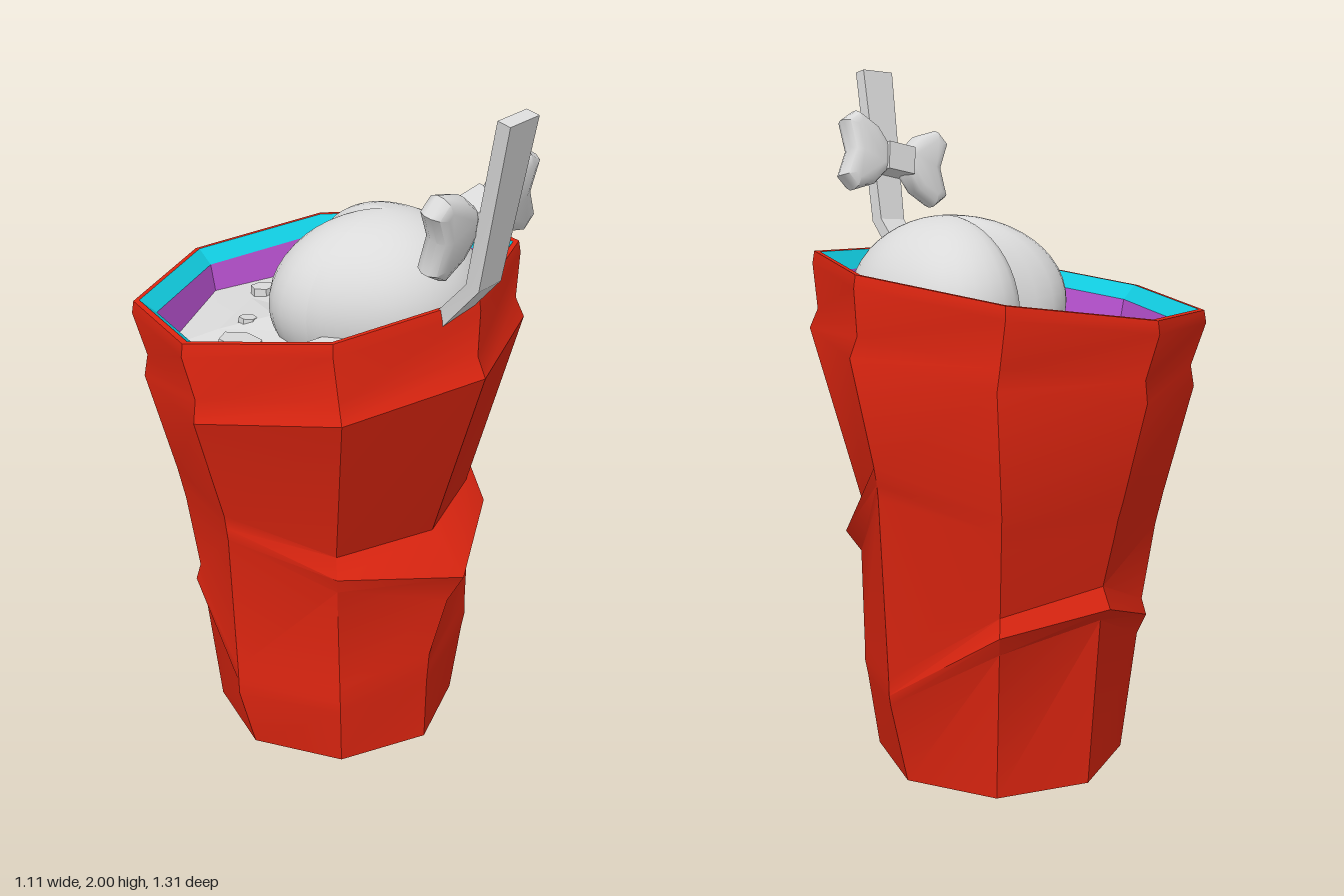
import * as THREE from 'three';
import { toCreasedNormals } from 'three/addons/utils/BufferGeometryUtils.js';

const mat = (name, color, side = THREE.FrontSide) => {
  const m = new THREE.MeshStandardMaterial({ color, side });
  m.name = name;
  return m;
};

// Skin between closed rings of points, each ring running counter-clockwise seen from above
function loft(rings, crease = 0.6) {
  const pos = [];
  for (let i = 0; i < rings.length - 1; i++) {
    const n = rings[i].length;
    for (let k = 0; k < n; k++) {
      const a = rings[i][k], b = rings[i][(k + 1) % n];
      const c = rings[i + 1][(k + 1) % n], d = rings[i + 1][k];
      for (const [p, q, r] of [[a, b, c], [a, c, d]]) {
        if (p.distanceTo(q) < 1e-5 || q.distanceTo(r) < 1e-5 || r.distanceTo(p) < 1e-5) continue;
        for (const v of [p, q, r]) pos.push(v.x, v.y, v.z);
      }
    }
  }
  const g = new THREE.BufferGeometry();
  g.setAttribute('position', new THREE.Float32BufferAttribute(pos, 3));
  return toCreasedNormals(g, crease);
}

// Height of the tilted rim plane, shifted by off
const rimY = (x, z, off) => 1.412 + off + 0.11 * x + 0.1 * (z + 0.1);

// Octagon ring: radius and height per column, starting at the front and turning toward +x
function foldRing(ys, rs, frontShift = 0) {
  return ys.map((y, k) => {
    const a = k * Math.PI / 4;
    return new THREE.Vector3(Math.sin(a) * rs[k] + (k === 0 ? frontShift : 0), y, Math.cos(a) * rs[k] - 0.065 - 0.025 * y);
  });
}

// Octagon ring parallel to the rim
function rimRing(r, off, cz = -0.1, bump = () => 0) {
  return Array.from({ length: 8 }, (_, k) => {
    const a = k * Math.PI / 4, x = Math.sin(a) * r, z = Math.cos(a) * r + cz;
    return new THREE.Vector3(x, rimY(x, z, off) + bump(k), z);
  });
}

export function createModel() {
  const group = new THREE.Group();
  const red = mat('red', 0xdd2510);
  const cyan = mat('cyan', 0x10c8dc);
  const purple = mat('purple', 0xb450cc);
  const white = mat('pale grey', 0xdadada);
  const add = (name, geo, material, parent = group) => {
    const m = new THREE.Mesh(geo, material);
    m.name = name;
    parent.add(m);
    return m;
  };

  // Crumpled cup: base, low fold at the back, higher fold at the front, then the lip
  const base = foldRing(Array(8).fill(0), Array(8).fill(0.365));
  add('cupShell', loft([
    base,
    foldRing([0.2, 0.22, 0.25, 0.44, 0.5, 0.36, 0.2, 0.18], [0.375, 0.40, 0.43, 0.40, 0.39, 0.40, 0.42, 0.39]),
    foldRing([0.25, 0.27, 0.28, 0.5, 0.54, 0.42, 0.24, 0.22], [0.38, 0.41, 0.435, 0.435, 0.425, 0.425, 0.42, 0.39]),
    foldRing([0.3, 0.32, 0.33, 0.55, 0.6, 0.47, 0.29, 0.27], [0.385, 0.41, 0.437, 0.41, 0.395, 0.41, 0.42, 0.39]),
    foldRing([0.47, 0.61, 0.86, 0.75, 0.75, 0.7, 0.72, 0.58], [0.405, 0.42, 0.475, 0.455, 0.43, 0.44, 0.43, 0.37], 0.06),
    foldRing([0.57, 0.67, 0.9, 0.8, 0.8, 0.75, 0.76, 0.63], [0.465, 0.465, 0.48, 0.465, 0.44, 0.45, 0.435, 0.39], 0.06),
    foldRing([0.69, 0.74, 0.95, 0.85, 0.85, 0.8, 0.8, 0.69], [0.355, 0.41, 0.49, 0.475, 0.455, 0.46, 0.44, 0.365], 0.05),
    rimRing(0.55, -0.225, -0.07),
    rimRing(0.532, -0.165, -0.08),
    rimRing(0.556, -0.035),
    rimRing(0.55, 0),
    rimRing(0.533, 0),
  ]), red);
  add('cupBase', loft([base.map(() => new THREE.Vector3(0, 0, -0.065)), base]), cyan);
  add('innerRim', loft([rimRing(0.533, 0), rimRing(0.485, -0.045)], 0.3), cyan);
  add('innerWall', loft([rimRing(0.485, -0.045), rimRing(0.44, -0.25)], 0.3), purple);

  // Uneven frozen surface inside the cup
  const bump = s => k => 0.018 * Math.sin(k * 2.7 + s * 4.1);
  add('icySurface', loft([
    rimRing(0.468, -0.14, -0.1, bump(1)),
    rimRing(0.31, -0.13, -0.1, bump(2)),
    rimRing(0.15, -0.12, -0.1, bump(3)),
    rimRing(0, -0.12),
  ], 0.05), white);

  // Ice chips poking out of the surface: x, z, radius
  [[-0.28, -0.17, 0.07], [-0.15, -0.27, 0.03], [0.05, -0.41, 0.04], [-0.22, 0.14, 0.11]].forEach(([x, z, r], i) => {
    const chip = add('iceChip', toCreasedNormals(new THREE.CylinderGeometry(r * 0.9, r, 0.05, 6), 0.3), white);
    chip.position.set(x, rimY(x, z, -0.133), z);
    chip.rotation.set(0.1, i * 0.8, -0.11);
  });

  // Rounded two-lobed scoop with a cleft on one side
  const scoop = new THREE.SphereGeometry(1, 48, 24);
  const p = scoop.attributes.position;
  const notch = Math.atan2(-0.3, -0.95);
  for (let i = 0; i < p.count; i++) {
    const x = p.getX(i), y = p.getY(i), z = p.getZ(i), s = Math.hypot(x, z);
    let f = Math.atan2(x, z) - notch;
    f = Math.abs(Math.atan2(Math.sin(f), Math.cos(f)));
    const cleft = Math.exp(-((f / 0.24) ** 2));
    const r = 0.285 + 0.065 * Math.exp(-(((f - 0.9) / 0.55) ** 2)) - 0.095 * cleft;
    p.setXYZ(i, x * r, y * 0.25 - 0.03 * cleft * s * (1 - s * 0.5), z * r);
  }
  scoop.computeVertexNormals();
  add('scoop', scoop, white).position.set(0.12, 1.345, 0.02);

  // Bent flat straw: centre, half width and half thickness at each section
  const section = (x, y, z, w, t) =>
    [[-w, t], [w, t], [w, -t], [-w, -t]].map(([dx, dz]) => new THREE.Vector3(x + dx, y + dx * 0.08 - dz * 0.25, z + dz));
  const point = (x, y, z) => section(x, y, z, 0, 0);
  add('straw', loft([
    point(-0.05, 1.27, 0.25),
    section(-0.05, 1.27, 0.25, 0.045, 0.025),
    section(-0.065, 1.54, 0.51, 0.046, 0.021),
    section(-0.115, 1.99, 0.632, 0.057, 0.019),
    point(-0.115, 1.99, 0.632),
  ], 0.3), white);

  // Bow tied behind the straw
  const bow = new THREE.Group();
  bow.name = 'bow';
  bow.position.set(-0.08, 1.725, 0.5);
  bow.rotation.set(0.22, 0, 0.22);
  group.add(bow);
  const half = [[0.03, 0.035], [0.08, 0.09], [0.155, 0.122], [0.2, 0.085]];
  const outline = [...half.map(([x, y]) => [x, -y]), [0.172, 0], ...half.slice().reverse()];
  for (const side of [1, -1]) {
    const pts = outline.map(([x, y]) => new THREE.Vector2(x * side, y));
    const geo = new THREE.ExtrudeGeometry(new THREE.Shape(pts), {
      depth: 0.02, bevelEnabled: true, bevelThickness: 0.03, bevelSize: 0.03, bevelOffset: -0.03, bevelSegments: 2,
    });
    geo.translate(0, 0, -0.01);
    add(side > 0 ? 'bowLoopRight' : 'bowLoopLeft', toCreasedNormals(geo, 0.9), white, bow);
  }
  add('bowKnot', new THREE.BoxGeometry(0.1, 0.085, 0.09), white, bow);

  return group;
}
